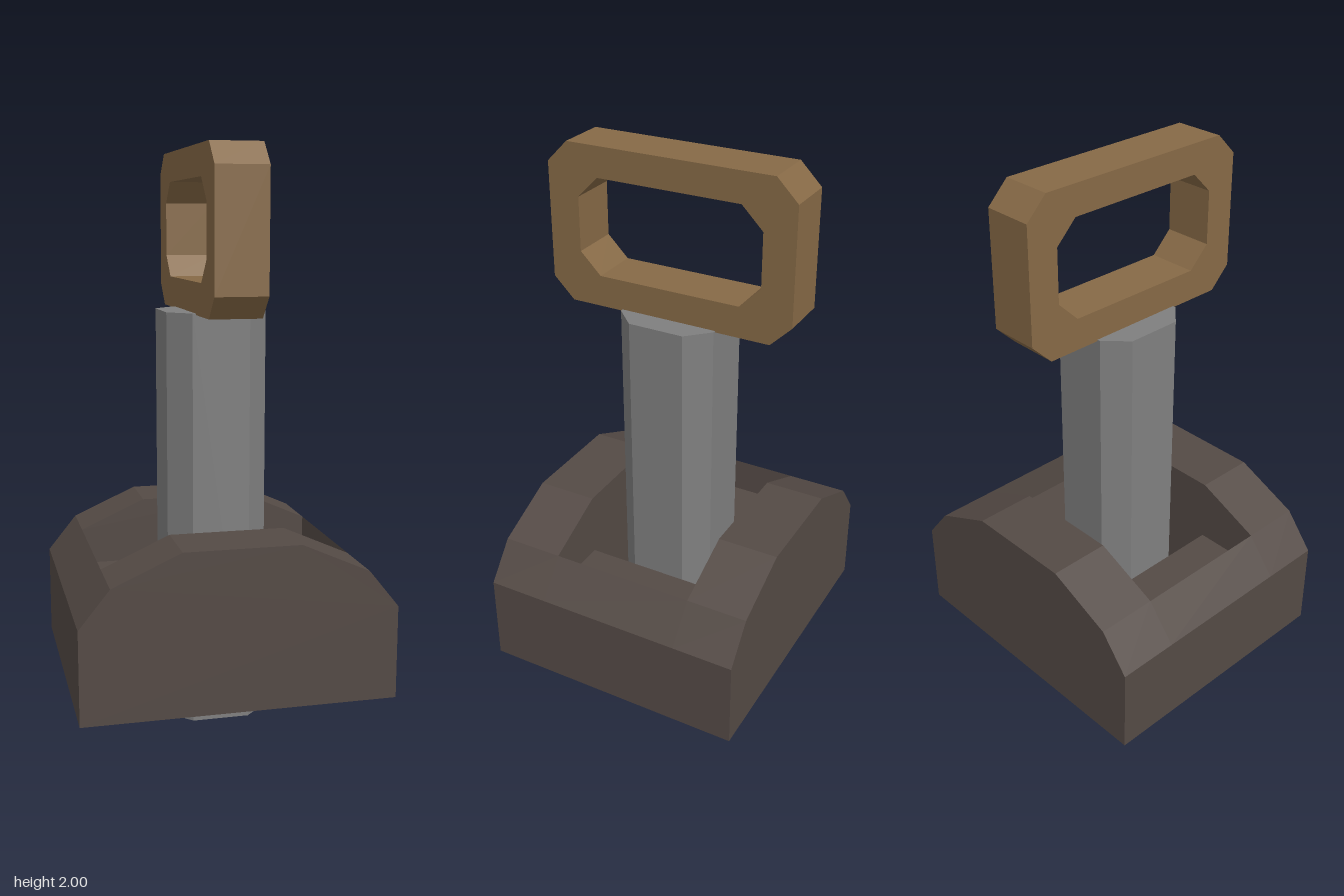
import * as THREE from 'three';

// Closed shape from a list of points
const outline = (pts, Kind = THREE.Shape) => new Kind(pts.map(([a, b]) => new THREE.Vector2(a, b)));

// Rectangle with cut corners, centred on (0, cy)
const chamferedRect = (w, h, c, cy = 0) => [
  [w, cy - h + c], [w, cy + h - c], [w - c, cy + h], [c - w, cy + h],
  [-w, cy + h - c], [-w, cy - h + c], [c - w, cy - h], [w - c, cy - h],
];

const extrude = (shape, depth) =>
  new THREE.ExtrudeGeometry(shape, { depth, bevelEnabled: false }).translate(0, 0, -depth / 2);

export function createModel() {
  const group = new THREE.Group();
  const material = (name, color) => {
    const m = new THREE.MeshStandardMaterial({ color });
    m.name = name;
    return m;
  };
  const darkWood = material('darkWood', 0x544a45);
  const metal = material('greyMetal', 0x7f7f7f);
  const wood = material('brownWood', 0x866946);

  const add = (name, geometry, mat, parent = group) => {
    const mesh = new THREE.Mesh(geometry, mat);
    mesh.name = name;
    parent.add(mesh);
    return mesh;
  };

  // Base: arched end blocks joined by stepped side walls around an open well
  const base = new THREE.Group();
  base.name = 'base';
  group.add(base);
  const arch = outline([
    [-0.54, 0.155], [0.54, 0.155], [0.54, 0.48], [0.435, 0.61],
    [0.2, 0.715], [-0.2, 0.715], [-0.435, 0.61], [-0.54, 0.48],
  ]);
  const wall = (s) => outline([
    [0.2, 0.155], [0.54, 0.155], [0.54, 0.48], [0.435, 0.61], [0.435, 0.48], [0.2, 0.48],
  ].map(([x, y]) => [s * x, y]));
  for (const s of [1, -1]) {
    add(s > 0 ? 'frontBlock' : 'backBlock', extrude(arch, 0.22), darkWood, base).position.z = s * 0.37;
    add(s > 0 ? 'leftWall' : 'rightWall', extrude(wall(s), 0.52), darkWood, base);
  }

  // Eight-sided shaft passing through the well
  const shaft = extrude(outline(chamferedRect(0.175, 0.175, 0.075)), 1.45);
  add('shaft', shaft.rotateX(-Math.PI / 2), metal).position.y = 0.725;

  // Looped grip lying along z
  const loop = outline(chamferedRect(0.445, 0.2775, 0.075, 1.7225));
  loop.holes.push(outline(chamferedRect(0.333, 0.17, 0.075, 1.725), THREE.Path));
  add('handle', extrude(loop, 0.178).rotateY(Math.PI / 2), wood);

  return group;
}
